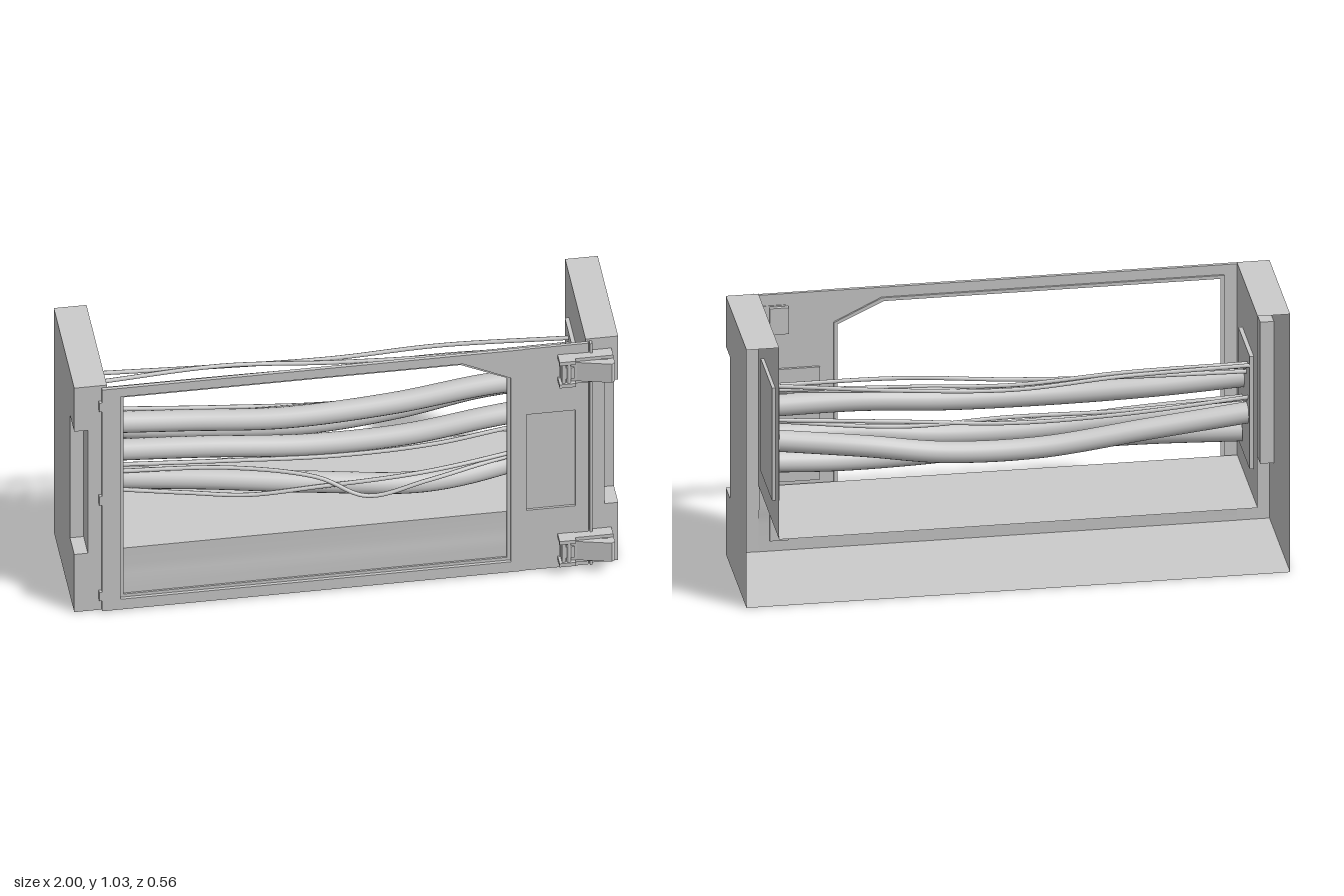
import * as THREE from 'three';
import { mergeVertices } from 'three/addons/utils/BufferGeometryUtils.js';

const grey = new THREE.MeshStandardMaterial({ color: 0xcccccc });
const sheet = new THREE.MeshStandardMaterial({ color: 0xcccccc, side: THREE.DoubleSide });

const H = 1.03, ZB = -0.28, ZF = 0.2, XI = 0.88, FLOOR = 0.265;

function add(parent, name, geo, mat = grey) {
  const m = new THREE.Mesh(geo, mat);
  m.name = name;
  parent.add(m);
  return m;
}

// Box given by its min and max corners
function box(parent, name, x0, x1, y0, y1, z0, z1) {
  const m = add(parent, name, new THREE.BoxGeometry(x1 - x0, y1 - y0, z1 - z0));
  m.position.set((x0 + x1) / 2, (y0 + y1) / 2, (z0 + z1) / 2);
  return m;
}

// Thin sheets from a list of quads, each given by four corners
function sheets(quads) {
  const p = [];
  for (const [a, b, c, d] of quads) p.push(...a, ...b, ...c, ...a, ...c, ...d);
  const g = new THREE.BufferGeometry();
  g.setAttribute('position', new THREE.Float32BufferAttribute(p, 3));
  g.computeVertexNormals();
  return g;
}

// Axis-aligned rectangles
const rectX = (x, y0, y1, z0, z1) => [[x, y0, z1], [x, y0, z0], [x, y1, z0], [x, y1, z1]];
const rectY = (y, x0, x1, z0, z1) => [[x0, y, z1], [x1, y, z1], [x1, y, z0], [x0, y, z0]];
const rectZ = (z, x0, x1, y0, y1) => [[x0, y0, z], [x1, y0, z], [x1, y1, z], [x0, y1, z]];

// Hollow side wall, open at the back, with a grip notch in its outer front edge
function sideWall(s) {
  const n0 = 0.265, n1 = 0.83, nx = 0.95 * s, nz = 0.1, xo = s, xi = XI * s;
  const g = new THREE.Group();
  g.name = s > 0 ? 'leftWall' : 'rightWall';
  add(g, 'wallShell', sheets([
    rectX(xo, 0, H, ZB, nz), rectX(xo, 0, n0, nz, ZF), rectX(xo, n1, H, nz, ZF),
    rectX(nx, n0, n1, nz, ZF), rectZ(nz, nx, xo, n0, n1),
    rectY(n0, nx, xo, nz, ZF), rectY(n1, nx, xo, nz, ZF),
    rectZ(ZF, xi, nx, 0, H), rectZ(ZF, nx, xo, 0, n0), rectZ(ZF, nx, xo, n1, H),
    rectY(H, xi, xo, ZB, ZF), rectX(xi, FLOOR, H, ZB, ZF),
  ]), sheet);
  // raised plate the cables plug into
  const pad = box(g, 'cablePlate', XI - 0.015, XI + 0.012, 0.38, 0.83, -0.19, 0.07);
  pad.position.x *= s;
  return g;
}

// Raised flat floor with a gently bent front face, over a flat bottom sheet
function base() {
  const g = new THREE.Group();
  g.name = 'base';
  add(g, 'bottomSheet', sheets([rectY(0, -1, 1, ZB, ZF)]), sheet);
  add(g, 'floor', sheets([rectY(FLOOR, -XI, XI, ZB, 0.19)]), sheet);
  const profile = [[FLOOR, 0.19], [0.19, 0.19], [0.15, 0.193], [0.11, 0.198], [0, 0.199]];
  const quads = profile.slice(1).map(([y, z], i) => {
    const [py, pz] = profile[i];
    return [[-XI, y, z], [XI, y, z], [XI, py, pz], [-XI, py, pz]];
  });
  const front = sheets(quads);
  front.deleteAttribute('normal');
  const smooth = mergeVertices(front);
  smooth.computeVertexNormals();
  add(g, 'floorFront', smooth, sheet);
  return g;
}

const toPoints = (list) => list.map(([x, y]) => new THREE.Vector2(x, y));
const rectPoints = (x0, x1, y0, y1) => toPoints([[x0, y0], [x1, y0], [x1, y1], [x0, y1]]);

// Window outline with one cut corner, grown by o
const windowPoints = (o) => toPoints([
  [-0.82 - o, 0.065 - o], [0.59 + o, 0.065 - o], [0.59 + o, 0.89 + o * 0.5],
  [0.42 + o * 0.5, 0.97 + o], [-0.82 - o, 0.97 + o]]);

// Flat plate with one hole, between two depths
function plate(parent, name, outline, hole, z0, z1) {
  const s = new THREE.Shape(outline);
  s.holes.push(new THREE.Path(hole));
  add(parent, name, new THREE.ExtrudeGeometry(s, { depth: z1 - z0, bevelEnabled: false })).position.z = z0;
}

// Front door: framed window, side panel and hinge knuckles
function door() {
  const g = new THREE.Group();
  g.name = 'door';
  plate(g, 'doorFrame', rectPoints(-0.9, 0.645, 0.005, 1.022), windowPoints(0.013), 0.203, 0.217);
  plate(g, 'windowTrim', windowPoints(0.013), windowPoints(0), 0.195, 0.205);
  plate(g, 'doorSidePanel', rectPoints(0.645, 0.888, 0.005, 1.022), rectPoints(0.66, 0.84, 0.28, 0.72), 0.203, 0.215);
  box(g, 'recessPanel', 0.655, 0.845, 0.275, 0.725, 0.193, 0.206);
  box(g, 'doorEdge', 0.893, 0.902, 0.005, 1.022, 0.2, 0.22);
  for (const y of [0.07, 0.51, 0.94]) box(g, 'hingeKnuckle', -0.91, -0.895, y - 0.02, y + 0.02, 0.2, 0.214);
  return g;
}

// Toggle latch: base, two ears, hooked lever and pivot pin
function latch(y) {
  const g = new THREE.Group();
  g.name = 'latch';
  const s = new THREE.Shape(toPoints([[0.795, 0.205], [0.795, 0.245], [0.84, 0.25], [0.965, 0.28], [0.978, 0.27],
    [0.972, 0.212], [0.958, 0.212], [0.952, 0.25], [0.86, 0.228], [0.85, 0.205]]));
  const lever = new THREE.ExtrudeGeometry(s, { depth: 0.085, bevelEnabled: false });
  lever.rotateX(Math.PI / 2).translate(0, 0.0425, 0);
  add(g, 'latchLever', lever);
  box(g, 'latchBase', 0.78, 0.975, -0.055, 0.055, 0.2, 0.221);
  for (const e of [-1, 1]) {
    box(g, 'latchEar', 0.775, 0.835, e * 0.051 - 0.008, e * 0.051 + 0.008, 0.21, 0.263);
    box(g, 'latchRail', 0.83, 0.975, e * 0.05 - 0.007, e * 0.05 + 0.007, 0.215, 0.245);
  }
  box(g, 'latchHook', 0.785, 0.80, -0.045, 0.045, 0.21, 0.256);
  box(g, 'latchTab', 0.80, 0.83, -0.025, 0.025, 0.24, 0.256);
  const pin = add(g, 'latchPin', new THREE.CylinderGeometry(0.008, 0.008, 0.117, 12));
  pin.position.set(0.81, 0, 0.252);
  box(g, 'latchBacking', 0.77, 0.84, -0.055, 0.05, 0.185, 0.203);
  g.position.y = y;
  return g;
}

// Cable through [x, y, z] points, closed at both ends
function cable(g, name, r, pts) {
  const curve = new THREE.CatmullRomCurve3(pts.map((p) => new THREE.Vector3(...p)));
  const sides = r > 0.02 ? 20 : 8;
  add(g, name, new THREE.TubeGeometry(curve, 60, r, sides));
  for (const t of [0, 1]) {
    const cap = add(g, name + 'End', new THREE.CircleGeometry(r, sides), sheet);
    cap.position.copy(curve.getPoint(t));
    cap.lookAt(cap.position.clone().add(curve.getTangent(t)));
  }
}

function cables() {
  const g = new THREE.Group();
  g.name = 'cables';
  const L = -0.868, R = 0.868;
  const thick = [
    [[L, 0.68, -0.03], [-0.55, 0.66, -0.02], [-0.2, 0.645, 0], [0.2, 0.655, -0.01], [0.55, 0.685, -0.03], [R, 0.69, -0.04]],
    [[L, 0.56, -0.02], [-0.5, 0.54, -0.01], [-0.1, 0.51, 0], [0.25, 0.515, 0], [0.55, 0.55, -0.01], [R, 0.57, -0.03]],
    [[L, 0.58, -0.13], [-0.5, 0.54, -0.13], [-0.1, 0.50, -0.14], [0.25, 0.515, -0.16], [0.55, 0.565, -0.17], [R, 0.60, -0.15]],
    [[L, 0.45, 0], [-0.5, 0.44, 0.05], [-0.1, 0.415, 0.1], [0.3, 0.385, 0.12], [0.6, 0.40, 0.08], [R, 0.44, 0.02]],
  ];
  for (const p of thick) cable(g, 'thickCable', 0.04, p);
  const thin = [
    [[L, 0.79, -0.18], [-0.4, 0.775, -0.17], [0, 0.755, -0.18], [0.4, 0.775, -0.17], [R, 0.80, -0.11]],
    [[L, 0.78, -0.14], [-0.4, 0.785, -0.16], [0, 0.76, -0.15], [0.35, 0.765, -0.12], [R, 0.78, -0.1]],
    [[L, 0.76, -0.12], [-0.4, 0.76, -0.12], [0, 0.75, -0.13], [0.4, 0.76, -0.13], [R, 0.77, -0.09]],
    [[L, 0.735, -0.11], [-0.4, 0.745, -0.11], [0, 0.76, -0.1], [0.4, 0.785, -0.08], [R, 0.79, -0.08]],
    [[L, 0.65, -0.15], [-0.4, 0.61, -0.14], [0, 0.595, -0.12], [0.4, 0.62, -0.1], [R, 0.66, -0.1]],
    [[L, 0.63, -0.12], [-0.4, 0.61, -0.11], [0, 0.61, -0.1], [0.4, 0.605, -0.11], [R, 0.65, -0.09]],
    [[L, 0.50, 0.03], [-0.4, 0.50, 0.08], [-0.1, 0.475, 0.15], [0.08, 0.39, 0.18], [0.3, 0.43, 0.175], [0.55, 0.45, 0.12], [R, 0.44, 0.03]],
    [[L, 0.43, 0.04], [-0.55, 0.41, 0.09], [-0.35, 0.40, 0.12], [-0.1, 0.43, 0.15], [0.3, 0.46, 0.16], [R, 0.47, 0.05]],
    [[L, 0.515, 0.01], [-0.4, 0.495, 0.03], [0, 0.475, 0.035], [0.35, 0.49, 0.04], [0.6, 0.52, 0.03], [R, 0.54, 0.01]],
  ];
  for (const p of thin) cable(g, 'thinCable', 0.008, p);
  return g;
}

export function createModel() {
  const model = new THREE.Group();
  model.name = 'cableCabinet';
  model.add(base(), sideWall(1), sideWall(-1), door(), latch(0.1), latch(0.923), cables());
  return model;
}
